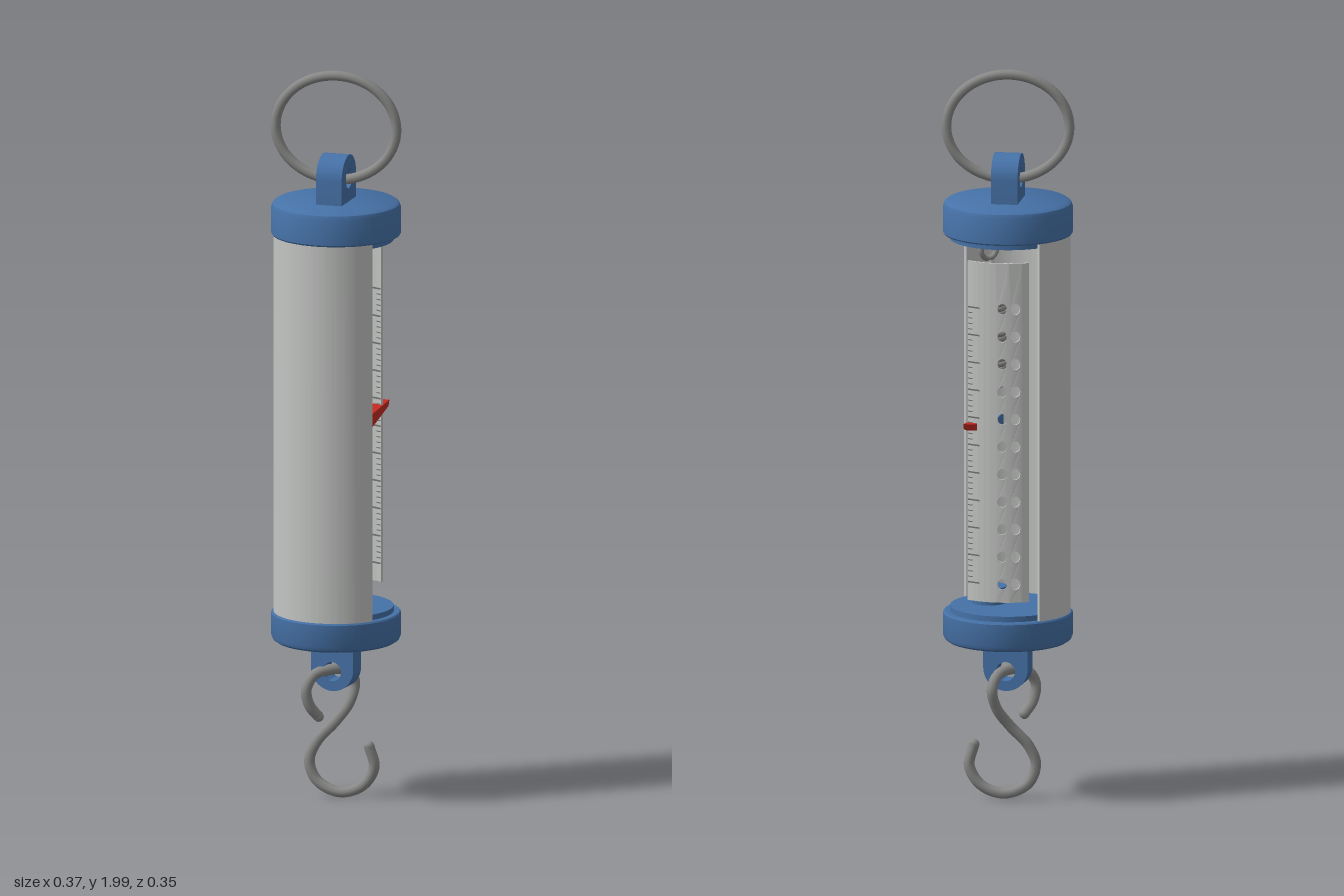
import * as THREE from 'three';
import { mergeGeometries, toCreasedNormals } from 'three/addons/utils/BufferGeometryUtils.js';

const CX = -0.012; // axis of the body
const ROD = [0.008, 0.058]; // x, z of the spring and rod
const V3 = (x, y, z) => new THREE.Vector3(x, y, z);
const V2 = (x, y) => new THREE.Vector2(x, y);
const rad = THREE.MathUtils.degToRad;

const mat = (name, color) => Object.assign(new THREE.MeshStandardMaterial({ color }), { name });

export function createModel() {
  const blue = mat('blue plastic', 0x4672a8);
  const white = mat('pale grey casing', 0xc3c5c3);
  const steel = mat('steel', 0x8a8a89);
  const dark = mat('dark grey marking', 0x6f7271);
  const red = mat('red pointer', 0xc42a20);

  const model = new THREE.Group();
  const add = (name, geometry, material, x = 0, y = 0, z = 0) => {
    const mesh = new THREE.Mesh(geometry, material);
    mesh.name = name;
    mesh.position.set(x, y, z);
    model.add(mesh);
    return mesh;
  };

  // End caps: rounded outer edge, with a shallow plug that fits into the casing
  const capGeometry = (height) => toCreasedNormals(new THREE.LatheGeometry([
    V2(0, -0.015), V2(0.154, -0.015), V2(0.154, 0), V2(0.17, 0), V2(0.173, 0.004),
    V2(0.173, height - 0.016), V2(0.169, height - 0.006), V2(0.16, height), V2(0, height),
  ], 64), 0.6);
  add('topCap', capGeometry(0.09), blue, CX, 1.555, 0);
  add('bottomCap', capGeometry(0.08).rotateX(Math.PI), blue, CX, 0.525, 0);

  // Casing: half tube, open on the left side
  const casing = new THREE.Shape();
  casing.absarc(0, 0, 0.167, rad(83), rad(277), false);
  casing.absarc(0, 0, 0.157, rad(277), rad(83), true);
  const casingGeometry = new THREE.ExtrudeGeometry(casing, { depth: 1.04, bevelEnabled: false, curveSegments: 40 });
  add('casing', toCreasedNormals(casingGeometry.rotateX(-Math.PI / 2), 0.5), white, CX, 0.52, 0);

  // Curved scale plate: flat strips with holes, bent round the body axis
  const bentStrip = (a0, a1, y0, y1, r, thick, holes = []) => {
    const shape = new THREE.Shape([V2(a0, y0), V2(a1, y0), V2(a1, y1), V2(a0, y1)]);
    for (const [a, y] of holes) {
      const hole = new THREE.Path();
      hole.absellipse(a, y, 4.6, 0.015, 0, Math.PI * 2, true);
      shape.holes.push(hole);
    }
    const g = new THREE.ExtrudeGeometry(shape, { depth: thick, bevelEnabled: false, curveSegments: 8 });
    const p = g.attributes.position;
    for (let i = 0; i < p.count; i++) {
      const a = rad(p.getX(i)), R = r + p.getZ(i);
      p.setXYZ(i, R * Math.cos(a), p.getY(i), -R * Math.sin(a));
    }
    g.computeVertexNormals();
    return g;
  };
  const rows = Array.from({ length: 11 }, (_, i) => 0.63 + i * 0.075);
  const strips = [];
  const edges = [11, 17, 23, 29, 35, 41, 53.5, 66, 73];
  for (let i = 0; i < edges.length - 1; i++) {
    const a0 = edges[i], a1 = edges[i + 1];
    const holes = a1 - a0 > 10 ? rows.map((y) => [(a0 + a1) / 2, y]) : [];
    strips.push(bentStrip(a0, a1, 0.58, 1.505, 0.156, 0.007, holes));
  }
  add('scalePlate', mergeGeometries(strips), white, CX, 0, 0);

  // Graduation marks on both faces of the plate
  const marks = [];
  rows.forEach((y, row) => {
    for (let k = 0; k < (row < 10 ? 5 : 1); k++) {
      const h = y + k * 0.015, end = k ? 17 : 25;
      const half = k ? 0.0012 : 0.002;
      marks.push(bentStrip(12, end, h - half, h + half, 0.1545, 0.0095));
    }
  });
  add('scaleMarks', mergeGeometries(marks), dark, CX, 0, 0);

  // Lugs: round-ended tabs with a hole
  const lugGeometry = (w, h, t, holeY, holeR) => {
    const s = new THREE.Shape();
    s.moveTo(-w / 2, -0.01);
    s.lineTo(w / 2, -0.01);
    s.lineTo(w / 2, h - w / 2);
    s.absarc(0, h - w / 2, w / 2, 0, Math.PI, false);
    s.lineTo(-w / 2, -0.01);
    const hole = new THREE.Path();
    hole.absarc(0, holeY, holeR, 0, Math.PI * 2, true);
    s.holes.push(hole);
    const g = new THREE.ExtrudeGeometry(s, { depth: t, bevelEnabled: false, curveSegments: 20 });
    return toCreasedNormals(g.translate(0, 0, -t / 2), 0.5);
  };
  add('topLug', lugGeometry(0.128, 0.127, 0.072, 0.063, 0.027).rotateY(0.76), blue, CX, 1.645, 0);
  add('bottomLug', lugGeometry(0.122, 0.135, 0.055, 0.082, 0.026).rotateZ(Math.PI).rotateY(-0.9), blue, CX, 0.445, 0);

  // Hanging ring, slightly wider than tall
  const ringPoints = Array.from({ length: 24 }, (_, i) => {
    const a = (i / 24) * Math.PI * 2, u = 0.163 * Math.cos(a);
    return V3(0.77 * u, 0.142 * Math.sin(a), 0.65 * u);
  });
  const ringCurve = new THREE.CatmullRomCurve3(ringPoints, true);
  add('hangingRing', new THREE.TubeGeometry(ringCurve, 72, 0.0135, 10, true), steel, CX, 1.844, 0);

  // Twisted S-shaped load hook with closed ends
  const hookCurve = new THREE.CatmullRomCurve3([
    V3(-0.06, 0.238, -0.01), V3(-0.085, 0.27, -0.014), V3(-0.094, 0.315, -0.015), V3(-0.07, 0.353, -0.012),
    V3(-0.02, 0.364, -0.005), V3(0.033, 0.354, -0.012), V3(0.055, 0.318, -0.018), V3(0.037, 0.265, -0.015),
    V3(0, 0.215, -0.025), V3(-0.043, 0.16, -0.05), V3(-0.06, 0.108, -0.06), V3(-0.045, 0.055, -0.045),
    V3(0, 0.027, 0), V3(0.045, 0.048, 0.043), V3(0.068, 0.1, 0.065), V3(0.056, 0.158, 0.06),
  ]);
  add('loadHook', new THREE.TubeGeometry(hookCurve, 120, 0.0145, 10), steel);
  for (const t of [0, 1]) {
    const p = hookCurve.getPoint(t);
    add('hookTip', new THREE.SphereGeometry(0.0145, 10, 8), steel, p.x, p.y, p.z);
  }

  // Coil spring with its end loops
  const turns = 20;
  const coil = Array.from({ length: turns * 12 + 1 }, (_, i) => {
    const a = (i / 12) * Math.PI * 2;
    return V3(0.041 * Math.cos(a), (i / (turns * 12)) * 0.275, 0.041 * Math.sin(a));
  });
  const coilCurve = new THREE.CatmullRomCurve3(coil);
  add('spring', new THREE.TubeGeometry(coilCurve, turns * 20, 0.0072, 6), steel, ROD[0], 1.128, ROD[1]);
  const loop = (name, y, turn) => {
    const g = new THREE.TorusGeometry(0.026, 0.0075, 8, 24).rotateY(turn);
    add(name, g, steel, ROD[0], y, ROD[1]);
  };
  loop('springTopLoop', 1.442, Math.PI / 2);
  loop('capEye', 1.503, 0);
  loop('springBottomLoop', 1.088, Math.PI / 2);
  loop('rodEye', 1.052, 0);

  // Sliding rod, guide collar and pointer block
  const rod = (name, r, y0, y1) =>
    add(name, new THREE.CylinderGeometry(r, r, y1 - y0, 28), blue, ROD[0], (y0 + y1) / 2, ROD[1]);
  rod('slidingRod', 0.025, 0.53, 1.02);
  rod('guideCollar', 0.048, 0.53, 0.585);
  const block = new THREE.BoxGeometry(0.066, 0.05, 0.066).rotateY(0.7);
  add('pointerBlock', block, blue, ROD[0], 1.026, ROD[1]);

  // Tapered pointer reaching out towards the scale
  const blade = new THREE.Shape([V2(0.025, 1.003), V2(0.2, 1.052), V2(0.207, 1.068), V2(0.025, 1.049)]);
  const pointer = new THREE.ExtrudeGeometry(blade, { depth: 0.03, bevelEnabled: false });
  add('pointer', pointer.translate(0, 0, -0.015).rotateY(0.7), red, 0.014, 0, 0.064);

  return model;
}
